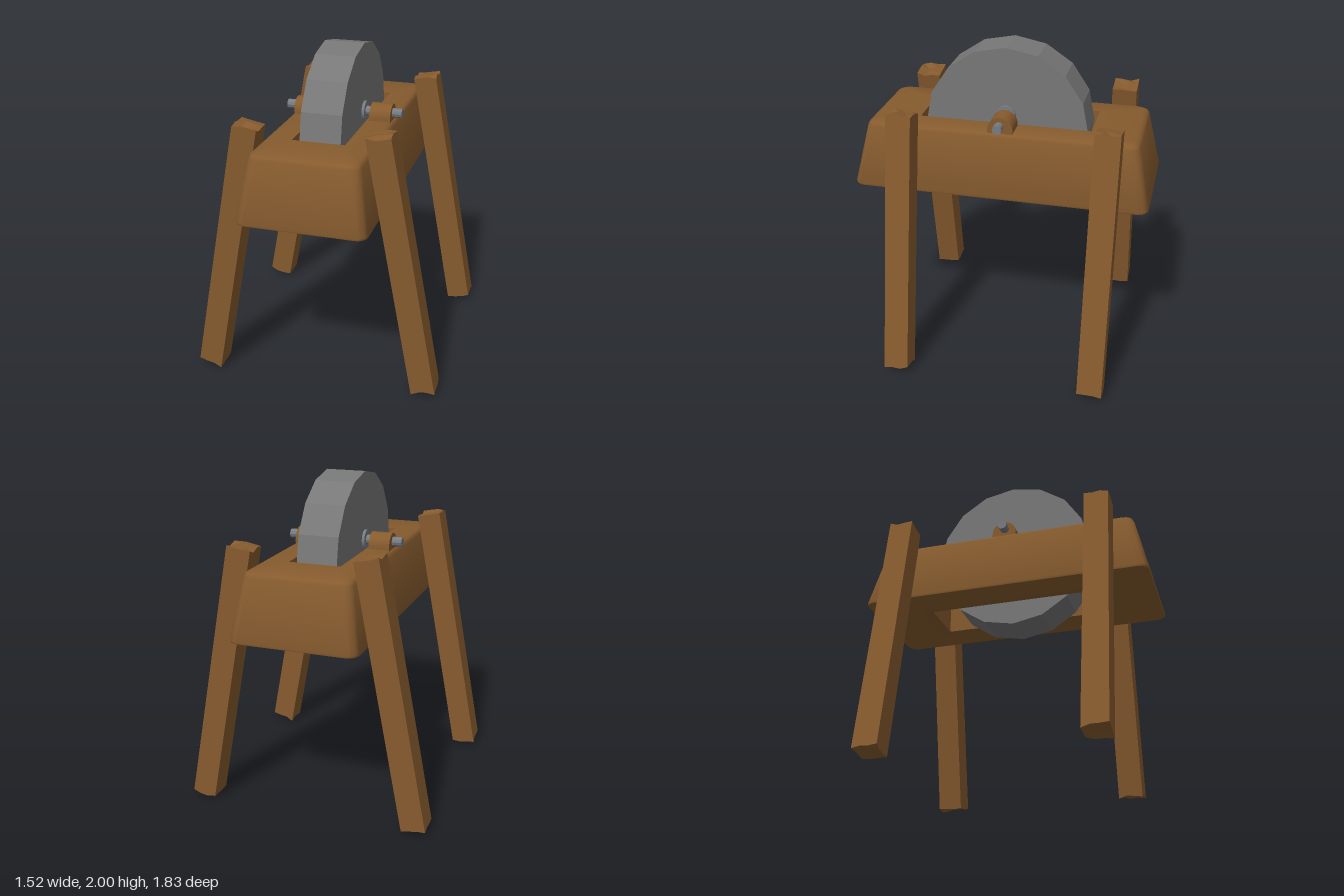
import * as THREE from 'three';
import { toCreasedNormals } from 'three/addons/utils/BufferGeometryUtils.js';

const wood = new THREE.MeshStandardMaterial({ color: 0x865b2e });
wood.name = 'brown wood';
const stone = new THREE.MeshStandardMaterial({ color: 0x777777 });
stone.name = 'grey stone';
const metal = new THREE.MeshStandardMaterial({ color: 0x777c82 });
metal.name = 'steel';

function add(group, name, geometry, material, x = 0, y = 0, z = 0) {
  const mesh = new THREE.Mesh(geometry, material);
  mesh.name = name;
  mesh.position.set(x, y, z);
  group.add(mesh);
  return mesh;
}

// Cylinder lying along x
function rod(radius, length, sides, crease = 0.6) {
  const g = new THREE.CylinderGeometry(radius, radius, length, sides).rotateZ(Math.PI / 2);
  return toCreasedNormals(g, crease);
}

// Rounded rectangle loop in the xz plane; radius 0 gives a sharp slot
function loop(halfX, halfZ, radius, y, steps = 4) {
  const points = [];
  [[1, 1], [-1, 1], [-1, -1], [1, -1]].forEach(([sx, sz], c) => {
    for (let i = 0; i <= steps; i++) {
      const a = (c + i / steps) * Math.PI / 2;
      points.push([sx * (halfX - radius) + radius * Math.cos(a), y, sz * (halfZ - radius) + radius * Math.sin(a)]);
    }
  });
  return points;
}

// Tapered frame: up the outside, over the top, down through the slot and back
function frameGeometry() {
  const rings = [
    loop(0.375, 0.9, 0.05, 1.125), loop(0.388, 0.912, 0.06, 1.13), loop(0.392, 0.915, 0.06, 1.143),
    loop(0.329, 0.835, 0.06, 1.505), loop(0.321, 0.825, 0.055, 1.523), loop(0.3, 0.8, 0.05, 1.535),
    loop(0.16, 0.533, 0, 1.535), loop(0.16, 0.533, 0, 1.125),
  ];
  const n = rings[0].length, index = [];
  rings.forEach((_, r) => {
    for (let i = 0; i < n; i++) {
      const a = r * n + i, b = r * n + (i + 1) % n;
      const up = ((r + 1) % rings.length) * n;
      const c = up + i, d = up + (i + 1) % n;
      index.push(a, c, b, b, c, d);
    }
  });
  const g = new THREE.BufferGeometry();
  g.setAttribute('position', new THREE.Float32BufferAttribute(rings.flat(2), 3));
  g.setIndex(index);
  return toCreasedNormals(g, 0.7);
}

// Square post with roughly sawn ends
function legGeometry(seed) {
  const length = 1.64;
  const g = new THREE.BoxGeometry(0.149, length, 0.153, 3, 1, 3);
  const p = g.attributes.position;
  for (let i = 0; i < p.count; i++) {
    const k = Math.round(p.getX(i) * 20) * 12.99 + Math.round(p.getZ(i) * 20) * 78.23 + Math.sign(p.getY(i)) * 3.7 + seed;
    const noise = Math.sin(k) * 43758.5453;
    p.setY(i, p.getY(i) + ((noise - Math.floor(noise)) - 0.5) * 0.026);
  }
  return toCreasedNormals(g, 0.1);
}

// Arched bearing block, extruded along x
function bearingGeometry(width) {
  const shape = new THREE.Shape();
  shape.moveTo(0.077, -0.03);
  shape.lineTo(0.077, 0);
  shape.absarc(0, 0, 0.077, 0, Math.PI, false);
  shape.lineTo(-0.077, -0.03);
  const g = new THREE.ExtrudeGeometry(shape, { depth: width, bevelEnabled: false, curveSegments: 8 });
  g.translate(0, 0, -width / 2).rotateY(Math.PI / 2);
  return toCreasedNormals(g, 0.6);
}

export function createModel() {
  const model = new THREE.Group();
  model.name = 'grindstone';

  add(model, 'frame', frameGeometry(), wood);
  add(model, 'grindingWheel', rod(0.507, 0.25, 16, 0.1), stone, 0, 1.493, 0);

  // Splayed legs
  const legs = [
    ['frontLeftLeg', 1, 0.575], ['frontRightLeg', -1, 0.634],
    ['backLeftLeg', 1, -0.664], ['backRightLeg', -1, -0.664],
  ];
  legs.forEach(([name, side, z], i) => {
    const leg = add(model, name, legGeometry(i + 1), wood, side * 0.535, 0.832, z);
    leg.rotation.z = side * 0.185;
  });

  // Axle, collars and bearings
  add(model, 'axle', rod(0.029, 0.74, 10), metal, 0, 1.576, 0);
  for (const side of [1, -1]) {
    const label = side > 0 ? 'left' : 'right';
    add(model, label + 'Collar', rod(0.062, 0.02, 12), metal, side * 0.132, 1.576, 0);
    add(model, label + 'Bearing', bearingGeometry(0.132), wood, side * 0.243, 1.553, -0.005);
  }
  return model;
}
